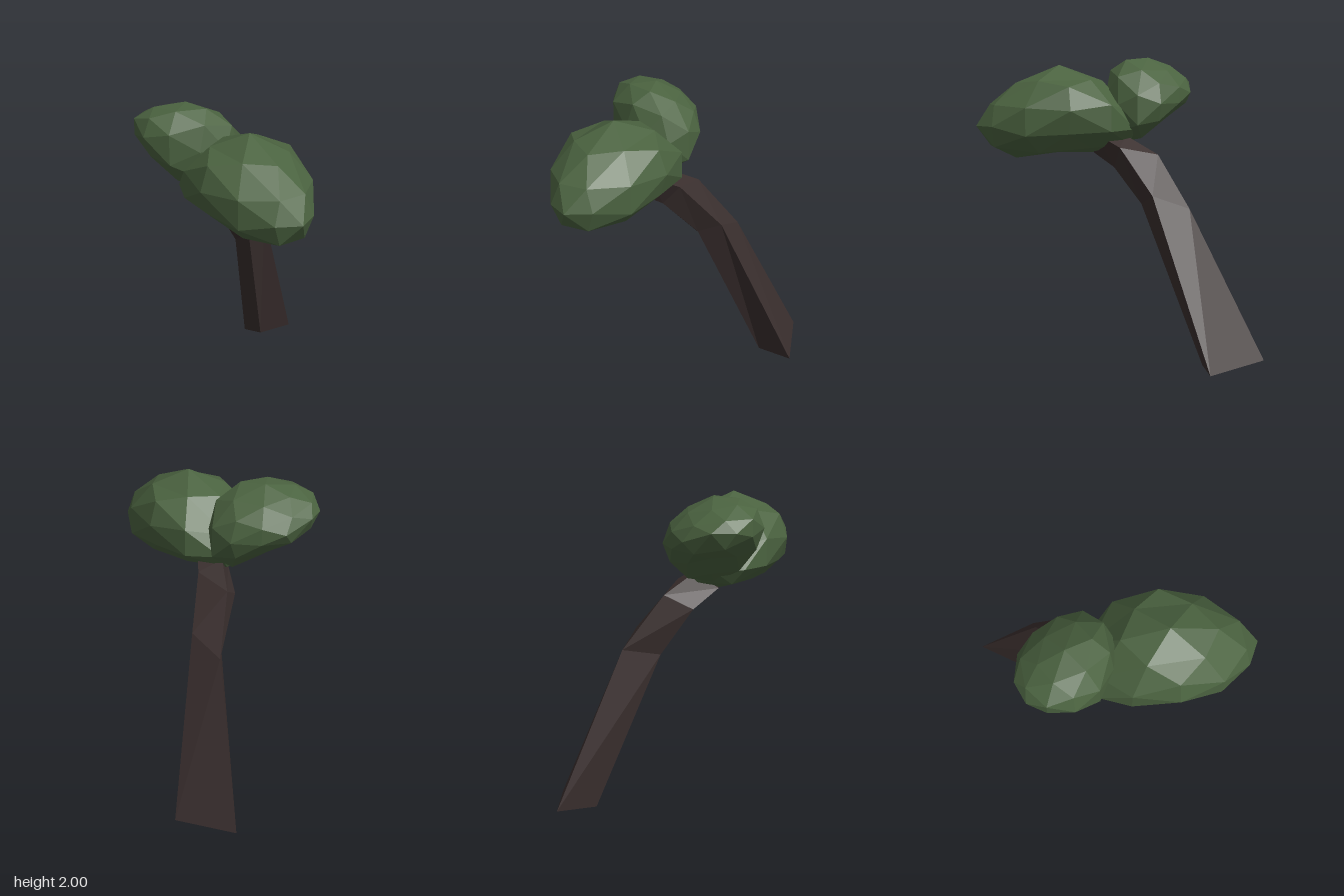
import * as THREE from 'three';

const bark = new THREE.MeshStandardMaterial({ color: 0x3a2f2e, flatShading: true });
const leaf = new THREE.MeshStandardMaterial({ color: 0x4b6340, flatShading: true });

// Four-sided leaning trunk; each ring runs back left, back right, front right, front left
function makeTrunk() {
  const rings = [
    [[-0.87, 0.05, -0.53], [-0.46, 0.01, -0.66], [-0.49, 0.01, -0.41], [-0.62, 0, -0.36]],
    [[-0.45, 1.02, -0.23], [-0.2, 1.11, -0.22], [-0.17, 1.04, -0.06], [-0.28, 0.96, -0.03]],
    [[-0.3, 1.36, 0], [-0.04, 1.41, 0.01], [-0.03, 1.27, 0.13], [-0.22, 1.26, 0.17]],
    [[-0.12, 1.48, 0.15], [0.1, 1.5, 0.15], [0.08, 1.36, 0.25], [-0.05, 1.37, 0.29]],
  ];
  const pos = [];
  const tri = (...corners) => corners.forEach((c) => pos.push(...c));
  for (let r = 0; r < rings.length - 1; r++) {
    const low = rings[r], up = rings[r + 1];
    for (let i = 0; i < 4; i++) {
      const j = (i + 1) % 4;
      tri(low[i], up[i], low[j]);
      tri(low[j], up[i], up[j]);
    }
  }
  // End caps
  const [a, b, c, d] = rings[0];
  tri(a, b, c);
  tri(a, c, d);
  const [e, f, g, h] = rings[rings.length - 1];
  tri(e, g, f);
  tri(e, h, g);
  const geo = new THREE.BufferGeometry();
  geo.setAttribute('position', new THREE.Float32BufferAttribute(pos, 3));
  geo.computeVertexNormals();
  return geo;
}

// Faceted ball reshaped to sections [x, bottom, top, back, front]; tilt raises the front
function makeFoliage(sections, tilt) {
  const x0 = sections[0][0], x1 = sections[sections.length - 1][0];
  const sample = (x) => {
    let k = 0;
    while (k < sections.length - 2 && x > sections[k + 1][0]) k++;
    const p = sections[k], q = sections[k + 1];
    const t = THREE.MathUtils.clamp((x - p[0]) / (q[0] - p[0]), 0, 1);
    return p.map((v, i) => THREE.MathUtils.lerp(v, q[i], t));
  };
  const geo = new THREE.IcosahedronGeometry(1, 1);
  const pos = geo.attributes.position;
  for (let i = 0; i < pos.count; i++) {
    const u = pos.getX(i);
    const r = Math.max(Math.hypot(pos.getY(i), pos.getZ(i)), 1e-4);
    const x = THREE.MathUtils.lerp(x0, x1, (u + 1) / 2);
    const [, bottom, top, back, front] = sample(x);
    const dz = (front - back) / 2 * pos.getZ(i) / r;
    const y = (top + bottom) / 2 + (top - bottom) / 2 * pos.getY(i) / r + tilt * dz;
    pos.setXYZ(i, x, y, (front + back) / 2 + dz);
  }
  geo.computeVertexNormals();
  return geo;
}

export function createModel() {
  const group = new THREE.Group();
  const add = (name, geo, mat) => {
    const mesh = new THREE.Mesh(geo, mat);
    mesh.name = name;
    group.add(mesh);
  };

  add('trunk', makeTrunk(), bark);

  // Wide lower crown
  add('largeFoliage', makeFoliage([
    [-0.25, 1.51, 1.51, 0.33, 0.33],
    [-0.2, 1.42, 1.6, 0.12, 0.47],
    [0, 1.36, 1.84, -0.06, 0.6],
    [0.29, 1.37, 1.96, -0.08, 0.66],
    [0.57, 1.32, 1.86, -0.01, 0.62],
    [0.77, 1.39, 1.71, 0.15, 0.5],
    [0.87, 1.55, 1.55, 0.33, 0.33],
  ], 0), leaf);

  // Smaller upper crown, drooping towards the trunk
  add('smallFoliage', makeFoliage([
    [-0.64, 1.83, 1.83, 0.4, 0.4],
    [-0.59, 1.7, 1.89, 0.2, 0.55],
    [-0.48, 1.65, 1.95, 0.09, 0.63],
    [-0.33, 1.53, 2, 0, 0.65],
    [-0.2, 1.44, 1.99, -0.02, 0.61],
    [-0.08, 1.42, 1.98, 0, 0.52],
    [0, 1.75, 1.75, 0.24, 0.24],
  ], 0.2), leaf);

  return group;
}
